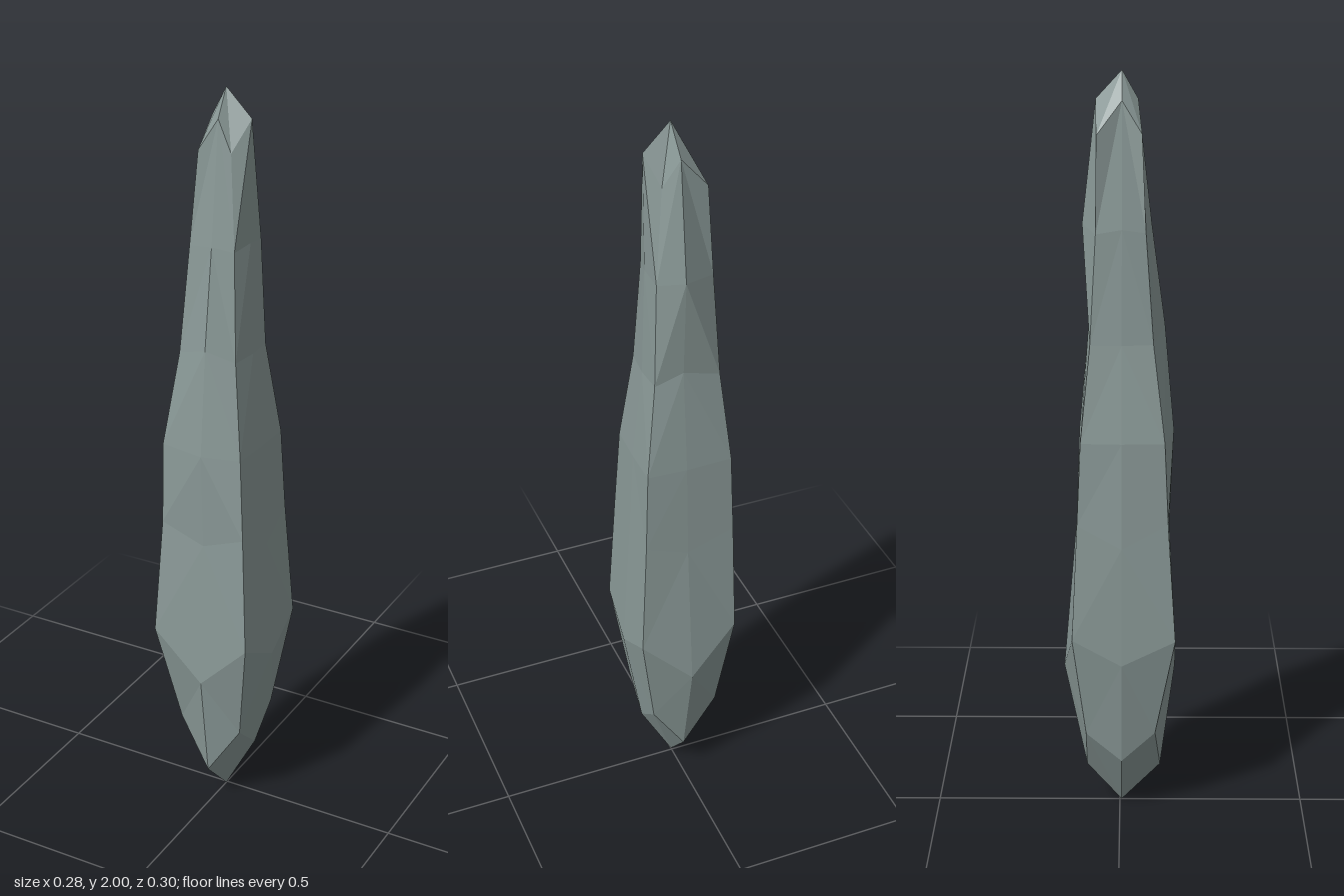
import * as THREE from 'three';

// Heights of the seven rings, at the corner ridges and at the face centres
const cornerY = [0.25, 0.54, 0.86, 1.08, 1.33, 1.61, 1.85];
const frontBackY = [0.11, 0.41, 0.82, 1.08, 1.36, 1.62, 1.93];
const sideY = [0.17, 0.47, 0.8, 1.08, 1.33, 1.62, 1.93];

// Distance of each ridge from the axis, ring by ring
const corner = (sx, sz, xs, zs) =>
  cornerY.map((y, i) => new THREE.Vector3(sx * xs[i], y, sz * zs[i]));
const middle = (dx, dz, ys, ds) =>
  ys.map((y, i) => new THREE.Vector3(dx * ds[i], y, dz * ds[i] + (dx ? 0.005 : 0)));

function shardGeometry() {
  // Eight ridges, running round from the front through the left side (+x)
  const columns = [
    middle(0, 1, frontBackY, [0.11, 0.148, 0.13, 0.14, 0.115, 0.08, 0.045]),
    corner(1, 1, [0.09, 0.13, 0.113, 0.1, 0.07, 0.055, 0.035], [0.095, 0.14, 0.125, 0.115, 0.085, 0.065, 0.045]),
    middle(1, 0, sideY, [0.09, 0.14, 0.12, 0.105, 0.077, 0.068, 0.07]),
    corner(1, -1, [0.09, 0.135, 0.115, 0.105, 0.073, 0.063, 0.037], [0.09, 0.128, 0.11, 0.1, 0.07, 0.06, 0.032]),
    middle(0, -1, frontBackY, [0.09, 0.15, 0.115, 0.105, 0.08, 0.095, 0.06]),
    corner(-1, -1, [0.095, 0.135, 0.13, 0.125, 0.1, 0.085, 0.07], [0.09, 0.125, 0.11, 0.1, 0.075, 0.06, 0.058]),
    middle(-1, 0, sideY, [0.1, 0.143, 0.145, 0.13, 0.1, 0.08, 0.037]),
    corner(-1, 1, [0.09, 0.141, 0.124, 0.125, 0.09, 0.07, 0.05], [0.095, 0.146, 0.125, 0.115, 0.085, 0.065, 0.055]),
  ];
  const foot = new THREE.Vector3(0, 0, 0.005);
  const tip = new THREE.Vector3(0, 2, 0.005);
  const points = [];
  const last = cornerY.length - 1;

  columns.forEach((a, c) => {
    const b = columns[(c + 1) % columns.length];
    points.push(foot, b[0], a[0]);
    for (let i = 0; i < last; i++) {
      // Alternate the diagonal so neighbouring facets mirror each other
      if (c % 2) points.push(a[i], b[i], b[i + 1], a[i], b[i + 1], a[i + 1]);
      else points.push(a[i], b[i], a[i + 1], b[i], b[i + 1], a[i + 1]);
    }
    points.push(a[last], b[last], tip);
  });

  const geometry = new THREE.BufferGeometry().setFromPoints(points);
  geometry.computeVertexNormals();
  return geometry;
}

export function createModel() {
  const group = new THREE.Group();
  group.name = 'stoneShard';
  const material = new THREE.MeshStandardMaterial({ color: 0x8a9997, flatShading: true });
  const shard = new THREE.Mesh(shardGeometry(), material);
  shard.name = 'shard';
  group.add(shard);
  return group;
}
